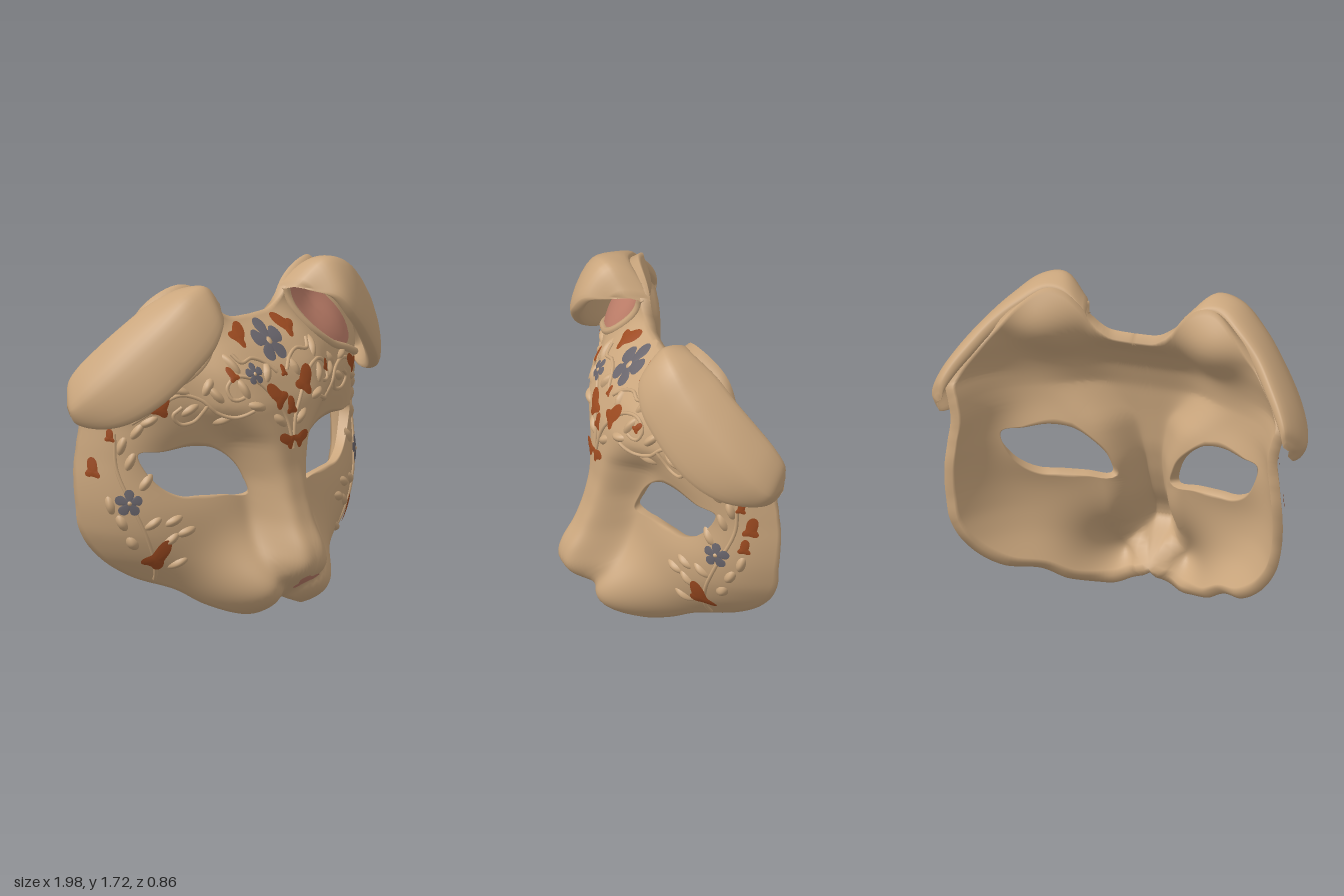
import * as THREE from 'three';
import { mergeVertices } from 'three/addons/utils/BufferGeometryUtils.js';

const V = (x, y, z = 0) => new THREE.Vector3(x, y, z);
const spline = (pts, closed = false) => new THREE.CatmullRomCurve3(pts.map(p => V(...p)), closed);
const mat = (name, color) => Object.assign(new THREE.MeshStandardMaterial({ color }), { name });

// Smoothed lookup in a table of [key, value] pairs
function lookup(table, y) {
  const at = k => {
    if (k <= table[0][0]) return table[0][1];
    for (let i = 1; i < table.length; i++) {
      const [a, va] = table[i - 1], [b, vb] = table[i];
      if (k <= b) return va + (vb - va) * (k - a) / (b - a);
    }
    return table[table.length - 1][1];
  };
  return (at(y - 0.03) + 2 * at(y) + at(y + 0.03)) / 4;
}

// By height: depth along the midline, width of the nose and forehead ridge, sweep of the side edge
const PROFILE = [[0, .1], [.07, .17], [.12, .24], [.16, .29], [.2, .37], [.25, .43], [.3, .447], [.38, .425], [.48, .36],
  [.6, .31], [.75, .27], [.95, .25], [1.1, .23], [1.25, .17], [1.38, .06], [1.5, -.09]];
const RIDGE = [[0, .04], [.14, .05], [.2, .115], [.3, .145], [.5, .13], [.7, .135], [.9, .19], [1.1, .36], [1.3, .36], [1.5, .22]];
const SWEEP = [[.1, .2], [.2, .19], [.31, .165], [.45, .16], [.6, .19], [.75, .228], [.9, .27], [1.03, .33], [1.12, .27],
  [1.21, .17], [1.3, .18], [1.4, .22], [1.52, .15]];
const bump = (x, y, cx, cy, sx, sy) => Math.exp(-(((x - cx) / sx) ** 2) - ((y - cy) / sy) ** 2);

// Curved face without the ridge: puffed muzzle, eye socket, hollow below the ear
function baseDepth(x, y) {
  const low = Math.max(0, 0.8 - y) / 0.8;
  const edge = ((x / 0.88) ** 2 + low * low) ** 4;
  const muzzle = bump(x, y, 0.17, 0.15, 0.2, 0.22);
  return 0.12 - 0.3 * x * x - lookup(SWEEP, y) * edge * (1 - 0.8 * muzzle) + 0.21 * muzzle
    - 0.07 * bump(x, y, 0.48, 0.8, 0.3, 0.18) - 0.07 * bump(x, y, 0.45, 1.48, 0.15, 0.13)
    - 0.62 * Math.max(0, y - 1.1) ** 1.6 + 3.5 * Math.max(0, y - 1.5) ** 2;
}
function depth(x, y) {
  const ax = Math.abs(x);
  return THREE.MathUtils.lerp(baseDepth(ax, y), lookup(PROFILE, y), Math.exp(-((ax / lookup(RIDGE, y)) ** 4)));
}
function normalAt(x, y) {
  const e = 0.006;
  return V((depth(x - e, y) - depth(x + e, y)) / (2 * e), (depth(x, y - e) - depth(x, y + e)) / (2 * e), 1).normalize();
}
const onFace = (x, y, lift = 0) => V(x, y, depth(x, y)).addScaledVector(normalAt(x, y), lift);

// Skin over rows of points; columns always close, rows close when wrap is set
function loft(rows, { wrap = false, solid = false, skip = () => false } = {}) {
  const n = rows[0].length, pos = [], idx = [];
  let volume = 0;
  rows.forEach(r => r.forEach(p => pos.push(p.x, p.y, p.z)));
  for (let k = 0; k < rows.length - (wrap ? 0 : 1); k++) {
    const k2 = (k + 1) % rows.length;
    for (let i = 0; i < n; i++) {
      const i2 = (i + 1) % n;
      if (skip(k, i, i2)) continue;
      for (const t of [[[k, i], [k, i2], [k2, i]], [[k, i2], [k2, i2], [k2, i]]]) {
        const [a, b, c] = t.map(([r, s]) => rows[r][s]);
        volume += a.dot(b.clone().cross(c));
        idx.push(...t.map(([r, s]) => r * n + s));
      }
    }
  }
  if (solid && volume < 0) idx.reverse();
  let g = new THREE.BufferGeometry();
  g.setAttribute('position', new THREE.Float32BufferAttribute(pos, 3));
  g.setIndex(idx);
  g = mergeVertices(g, 1e-5);
  g.computeVertexNormals();
  return g;
}

// Outlines of one half of the mask and its eye hole
const OUTLINE = [[0, 1.49], [.13, 1.5], [.2, 1.54], [.28, 1.61], [.37, 1.665], [.46, 1.675], [.58, 1.61], [.7, 1.505], [.8, 1.39],
  [.87, 1.29], [.9, 1.21], [.88, 1.12], [.865, 1.03], [.88, .9], [.895, .75], [.89, .6], [.86, .45], [.77, .31], [.63, .2],
  [.48, .14], [.36, .06], [.25, .015], [.17, .005], [.08, .035], [0, .07]];
const EYE = [[.18, .625], [.195, .72], [.25, .81], [.35, .88], [.47, .9], [.6, .885], [.71, .88], [.67, .77], [.6, .69],
  [.52, .65], [.43, .645], [.3, .635]];

// Half shell: rings from the eye hole out to the outline, front then back
function shellRows(side) {
  const cx = 0.45, cy = 0.77, M = 32;
  const eye = spline(EYE, true).getSpacedPoints(240)
    .map(p => [Math.atan2(p.y - cy, p.x - cx), Math.hypot(p.x - cx, p.y - cy)]).sort((a, b) => a[0] - b[0]);
  const last = eye[eye.length - 1];
  const polar = [[last[0] - 2 * Math.PI, last[1]], ...eye, [eye[0][0] + 2 * Math.PI, eye[0][1]]];
  const eyeRadius = a => {
    const j = polar.findIndex(e => e[0] >= a), [a0, r0] = polar[j - 1], [a1, r1] = polar[j];
    return r0 + (r1 - r0) * (a - a0) / (a1 - a0 || 1);
  };
  const border = spline(OUTLINE).getSpacedPoints(150);
  for (let i = 1; i < 64; i++) border.push(V(0, 0.07 + 1.42 * i / 64));
  const front = [], back = [];
  for (let j = 0; j <= M; j++) {
    const f = [], b = [];
    for (const p of border) {
      const a = Math.atan2(p.y - cy, p.x - cx), r = eyeRadius(a), t = j / M;
      let x = THREE.MathUtils.lerp(cx + r * Math.cos(a), p.x, t);
      const y = THREE.MathUtils.lerp(cy + r * Math.sin(a), p.y, t);
      if (x < 1e-5) x = 0;
      const q = onFace(x, y), inner = onFace(x, y, -0.05);
      inner.x = x === 0 ? 0 : Math.max(0.001, inner.x);
      f.push(q.setX(q.x * side));
      b.push(inner.setX(inner.x * side));
    }
    front.push(f);
    back.unshift(b);
  }
  return { rows: [...front, ...back], M };
}

// Folded ear: sections from the back ridge over the top to the free front edge
function earGeometry(side) {
  const ridge = spline([[.24, 1.58, -.12], [.35, 1.675, -.09], [.46, 1.695, -.09], [.59, 1.63, -.16], [.71, 1.53, -.225],
    [.81, 1.41, -.31], [.88, 1.31, -.375], [.915, 1.23, -.41], [.92, 1.16, -.41]]);
  const crown = spline([[.27, 1.61, 0], [.4, 1.72, .05], [.53, 1.69, .06], [.67, 1.57, .02], [.8, 1.43, -.06], [.91, 1.29, -.15],
    [.975, 1.18, -.24], [.99, 1.12, -.31], [.95, 1.12, -.38]]);
  const free = spline([[.3, 1.59, .05], [.39, 1.56, .17], [.48, 1.45, .2], [.6, 1.32, .16], [.74, 1.17, .07], [.85, 1.07, -.06],
    [.92, 1.035, -.2], [.96, 1.05, -.31], [.94, 1.1, -.38]]);
  const rows = [];
  for (let i = 0; i <= 48; i++) {
    const s = i / 48, thick = 0.4 + 0.6 * Math.sin(Math.PI * s) ** 0.5;
    const outer = [ridge, crown, free].map(c => c.getPoint(s));
    const inner = [V(-0.03, -0.05, 0), V(-0.035, -0.03, -0.04), V(-0.035, -0.01, -0.045)]
      .map((o, j) => outer[j].clone().addScaledVector(o, thick)).reverse();
    const loop = new THREE.CatmullRomCurve3([...outer, ...inner], true).getPoints(36).slice(0, 36);
    rows.push(loop.map(p => p.setX(p.x * side)));
  }
  const cap = r => {
    const c = r.reduce((a, p) => a.add(p), V(0, 0, 0)).divideScalar(r.length);
    return r.map(() => c.clone());
  };
  return loft([cap(rows[0]), ...rows, cap(rows[48])], { solid: true });
}

// Thin patch lying on the face; radius is a function of angle
function patch(cx, cy, radius, rot = 0, lift = 0.005, dome = 0.003) {
  const rows = [], nrm = normalAt(cx, cy), squash = nrm.z / Math.hypot(nrm.x, nrm.z), n = 60;
  for (let k = 0; k <= 5; k++) {
    rows.push(Array.from({ length: n }, (_, i) => {
      const a = -2 * Math.PI * i / n, t = k / 5, r = radius(a) * t;
      return onFace(cx + r * Math.cos(a + rot) * squash, cy + r * Math.sin(a + rot), lift + dome * (1 - t * t));
    }));
  }
  return loft(rows);
}
const oval = (a, b) => t => 1 / Math.hypot(Math.cos(t) / a, Math.sin(t) / b);
const flower = R => t => R * (0.45 + 0.55 * Math.abs(Math.cos(2.5 * t)) ** 0.5);
const leaf = R => t => R * (0.42 + 0.32 * Math.abs(Math.cos(1.5 * t)) ** 3 + 0.5 * Math.abs(Math.cos(t / 2)) ** 12);

export function createModel() {
  const group = new THREE.Group();
  const tan = mat('tan', 0xcaa67d), rust = mat('rust', 0x9c4a20), slate = mat('slate', 0x69656c), pink = mat('pink', 0xbc7d68);
  const add = (name, geometry, material) => {
    const m = new THREE.Mesh(geometry, material);
    m.name = name;
    group.add(m);
    return m;
  };
  const tube = (name, pts, side, radius) => {
    const path = spline(pts).getSpacedPoints(24).map(p => onFace(side * p.x, p.y, 0.002));
    add(name, new THREE.TubeGeometry(new THREE.CatmullRomCurve3(path), 48, radius, 8), tan);
  };

  // Mask shell, ears and the pink hollow with its rolled rim
  for (const side of [1, -1]) {
    const { rows, M } = shellRows(side);
    const seam = (k, i, i2) => k === M && rows[k][i].x === 0 && rows[k][i2].x === 0;
    const label = side > 0 ? 'left' : 'right';
    const half = add(label + 'MaskHalf', loft(rows, { wrap: true, solid: true, skip: seam }), tan);
    // Matching normals along the midline
    const { position: p, normal: n } = half.geometry.attributes;
    for (let i = 0; i < p.count; i++) {
      if (p.getX(i) !== 0) continue;
      const v = V(0, n.getY(i), n.getZ(i)).normalize();
      n.setXYZ(i, v.x, v.y, v.z);
    }
    add(label + 'Ear', earGeometry(side), tan);
    add(label + 'EarLining', patch(side * 0.46, 1.42, oval(0.25, 0.115), side * -0.74), pink);
    tube(label + 'EarRim', [[.25, 1.58], [.275, 1.47], [.35, 1.36], [.47, 1.27], [.6, 1.215], [.72, 1.16]], side, 0.02);
  }

  // Nose tip
  add('noseTip', patch(0, 0.195, t => 0.045 * (1 + 0.3 * Math.cos(3 * t)), -Math.PI / 2), pink);

  // Raised vines and leaves, mirrored
  const vines = [
    [[.57, .2], [.65, .38], [.73, .58], [.785, .78], [.79, .98]],
    [[0, .86], [.03, 1.02], [.1, 1.14], [.19, 1.23], [.28, 1.25], [.33, 1.2], [.31, 1.14], [.26, 1.15]],
    [[.22, 1.08], [.3, 1.05], [.38, 1.08], [.45, 1.15], [.55, 1.18], [.65, 1.13], [.74, 1.04]],
    [[.42, 1.12], [.47, 1.04], [.54, 1.03], [.58, 1.08], [.54, 1.12]],
    [[.03, 1.24], [.08, 1.29], [.15, 1.32], [.22, 1.31], [.25, 1.35]],
  ];
  const sprigs = [[.58, .43, 2.4], [.72, .41, .7], [.66, .52, 2.5], [.77, .52, .9], [.68, .73, 2.3], [.81, .61, 1.2], [.74, .84, 2],
    [.53, .3, 2.6], [.07, 1.01, .7], [.2, 1.1, .3], [.25, 1.19, 1.2], [.38, 1.17, .9], [.41, 1.21, 2.2], [.5, 1.1, 2.6],
    [.68, 1.05, -.5], [.27, 1.31, 1.1], [.09, 1.25, 2], [.51, .47, 2.8], [.72, 1.0, 2.2], [.57, .53, 2.7],
    [.34, 1.03, -.3], [.54, 1.2, .4], [.77, .92, 1.9]];
  for (const side of [1, -1]) {
    for (const v of vines) tube('vine', v, side, 0.01);
    for (const [x, y, a] of sprigs) {
      add('raisedLeaf', patch(side * x, y, oval(0.055, 0.026), side > 0 ? a : Math.PI - a, -0.004, 0.022), tan);
    }
  }

  // Painted leaves: x, y, size, angle
  const leaves = [[-.17, 1.41, .065, .7], [.16, 1.41, .065, 2.4], [-.64, 1.12, .07, 1.2], [.63, 1.13, .065, 2.5], [-.065, 1.12, .075, 2.3],
    [.11, 1.16, .08, 1], [0, 1.06, .05, 1.57], [-.03, .9, .055, 2.6], [.03, .9, .055, .5], [0, 1.23, .03, 1.57], [-.29, 1.25, .04, 2],
    [.3, 1.2, .035, 1], [-.62, .33, .09, 1.2], [.62, .34, .09, 1.4], [.83, .82, .065, 1.5], [.82, .71, .05, 1.5],
    [-.85, .78, .06, 1.5], [-.8, .96, .04, 1.5], [.8, .94, .04, 1.5]];
  for (const [x, y, r, a] of leaves) add('paintedLeaf', patch(x, y, leaf(r), a, 0.014), rust);

  // Painted flowers with raised centres
  for (const [x, y, r] of [[0, 1.37, .095], [-.18, 1.25, .05], [-.75, .63, .07], [.73, .65, .07]]) {
    add('paintedFlower', patch(x, y, flower(r), Math.PI / 2, 0.014), slate);
    add('flowerCentre', patch(x, y, () => r * 0.16, 0, 0.017, 0.006), tan);
  }
  return group;
}
